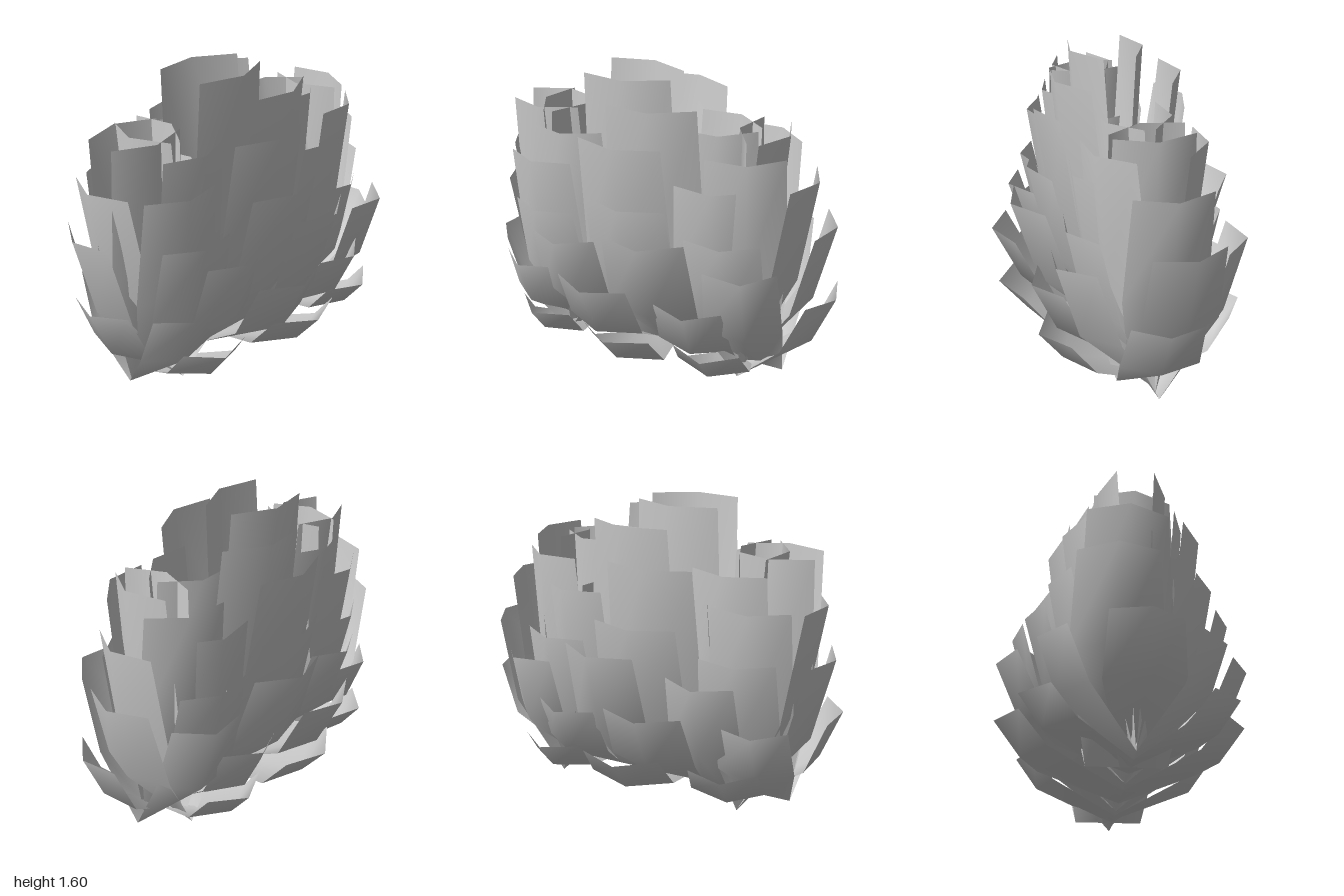
import * as THREE from 'three';

const material = new THREE.MeshStandardMaterial({ color: 0xcccccc, side: THREE.DoubleSide });

// Leaf rows from base to tip: [height share, reach share, width share, fold and yaw share]
const ROWS = [[0, 0, 0.6, 0], [0.5, 0.78, 1.12, 1], [1, 1, 1, 1]];

// One folded leaf leaning out along +z, its cross-section twisted by yaw
function leafGeometry(height, reach, width, fold, yaw) {
  const pos = [], index = [];
  for (const [h, r, w, share] of ROWS) {
    const s = Math.sin(yaw * share), c = Math.cos(yaw * share);
    for (const side of [-1, 0, 1]) {
      const u = side * width * w / 2;
      const back = Math.abs(side) * fold * share;
      pos.push(u * c - back * s, h * height, r * reach - u * s - back * c);
    }
  }
  for (let row = 0; row < 2; row++) {
    for (let col = 0; col < 2; col++) {
      const a = row * 3 + col;
      index.push(a, a + 1, a + 4, a, a + 4, a + 3);
    }
  }
  const geo = new THREE.BufferGeometry();
  geo.setAttribute('position', new THREE.Float32BufferAttribute(pos, 3));
  geo.setIndex(index);
  geo.computeVertexNormals();
  return geo;
}

// A leaf growing from (x, 0, z) towards the given heading, yaw in degrees
function addLeaf(parent, name, x, z, heading, reach, height, width, fold, yaw) {
  const leaf = new THREE.Mesh(
    leafGeometry(height, reach, width, fold, THREE.MathUtils.degToRad(yaw)), material);
  leaf.name = name;
  leaf.position.set(x, 0, z);
  leaf.rotation.y = heading;
  parent.add(leaf);
}

// Seven tiers, shared by all rosettes
const HEIGHTS = [0.333, 0.563, 0.797, 0.9, 1.152, 1.308, 1.387];
const WIDTHS = [0.35, 0.35, 0.36, 0.38, 0.39, 0.39, 0.39];
const FOLDS = [0.11, 0.1, 0.1, 0.08, 0.08, 0.08, 0.08];
const YAWS = [6, 4, -10, 0, 0, -12, -8];

// Reach and long-axis position of the side leaves, lowest tier first
const ROSETTES = [
  { name: 'front', scale: 1, splay: 8,
    reach: [0.516, 0.44, 0.51, 0.4, 0.34, 0.28, 0.17],
    z: [0.54, 0.66, 0.375, 0.55, 0.59, 0.44, 0.635] },
  { name: 'middle', scale: 1.155, splay: 0,
    reach: [0.655, 0.655, 0.595, 0.47, 0.41, 0.33, 0.195],
    z: [0.025, 0.145, -0.14, 0.025, 0.08, -0.075, 0.125] },
  { name: 'back', scale: 1, splay: -12,
    reach: [0.55, 0.553, 0.49, 0.4, 0.34, 0.28, 0.17],
    z: [-0.46, -0.36, -0.63, -0.485, -0.41, -0.565, -0.375] },
];

// Leaves on the long axis: [tier, sideways shift, front reach, back reach, inward reach, yaw]
const END_Z = 0.53;
const END_LEAVES = [
  [1, 0.055, 0.47, 0.47, 0.39, 13], [3, -0.09, 0.44, 0.41, 0.31, -4],
  [4, -0.03, 0.37, 0.31, 0.25, 4], [6, 0.015, 0.15, 0.16, 0.1, 6],
];

export function createModel() {
  const model = new THREE.Group();
  model.name = 'leafRosette';

  for (const { name, scale, splay, reach, z } of ROSETTES) {
    const rosette = new THREE.Group();
    rosette.name = name + 'Rosette';
    model.add(rosette);

    // Side leaves, mirrored left and right
    HEIGHTS.forEach((h, i) => {
      for (const side of [1, -1]) {
        addLeaf(rosette, side > 0 ? 'leftLeaf' : 'rightLeaf', 0, z[i], side * Math.PI / 2,
          reach[i], h * scale, WIDTHS[i] * scale, FOLDS[i], -side * (YAWS[i] + splay));
      }
    });
  }

  // Outward and inward leaves at both ends
  for (const end of [1, -1]) {
    const group = new THREE.Group();
    group.name = end > 0 ? 'frontEndLeaves' : 'backEndLeaves';
    model.add(group);
    for (const [tier, shift, frontReach, backReach, inReach, yaw] of END_LEAVES) {
      const outReach = end > 0 ? frontReach : backReach;
      for (const dir of [1, -1]) {
        const outer = dir === end;
        addLeaf(group, outer ? 'outerLeaf' : 'innerLeaf', shift, end * END_Z,
          dir > 0 ? 0 : Math.PI, outer ? outReach : inReach,
          HEIGHTS[tier], WIDTHS[tier], 0.08, dir * yaw);
      }
    }
  }
  return model;
}
